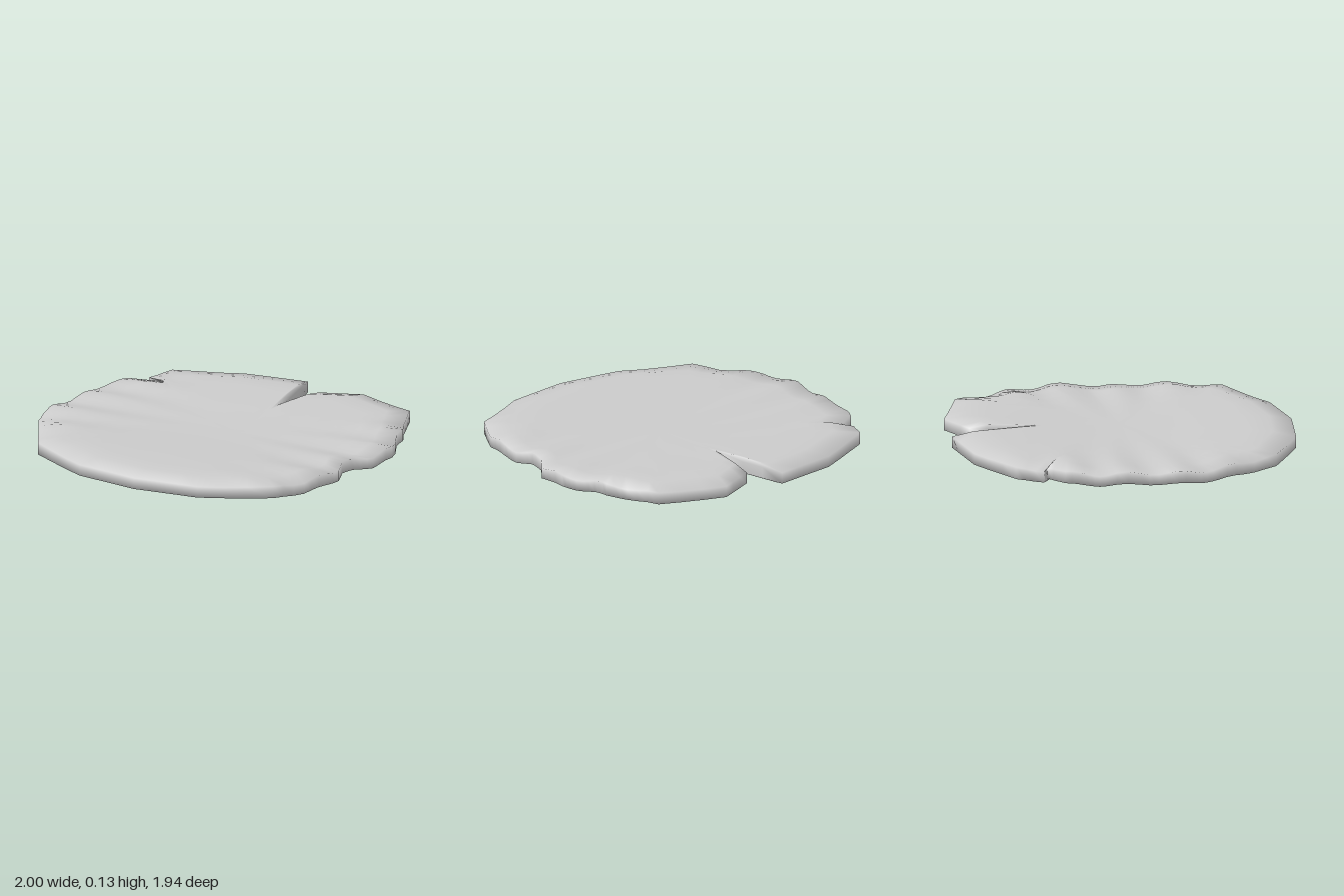
import * as THREE from 'three';

// Leaf outline as [x, z], starting at the notch and running round by the right, front and left
const OUTLINE = [
  [0.10, -0.55], [0.17, -0.84], [0.40, -0.94], [0.78, -0.80], [0.85, -0.61], [0.91, -0.50],
  [0.92, -0.41], [0.97, -0.31], [1.00, -0.22], [0.99, -0.03], [0.92, 0.06], [0.90, 0.16],
  [0.935, 0.26], [0.92, 0.38], [0.88, 0.55], [0.78, 0.73], [0.40, 0.92], [0.02, 0.97],
  [-0.36, 0.92], [-0.74, 0.73], [-0.86, 0.52], [-0.95, 0.36], [-0.99, 0.25], [-1.00, 0.12],
  [-0.975, -0.04], [-0.95, -0.22], [-0.95, -0.32], [-0.92, -0.40], [-0.87, -0.50],
  [-0.73, -0.575], [-0.80, -0.61], [-0.73, -0.75], [-0.36, -0.92], [0.02, -0.97],
];
const HUB = [0.1, 0];
const STEPS = 3;
const { smoothstep } = THREE.MathUtils;

// Ripples run sideways and grow towards the left and right edges
const ripple = (x, z) => 0.011 * Math.min(1, x * x * 1.3) * Math.sin(z * 21 - 1.2);

// The top is slightly dished between the front and the back
const topHeight = (x, z) => 0.112 + 0.018 * smoothstep(Math.abs(z), 0.1, 0.65) + ripple(x, z);

// The underside has a flat belly, wider than it is deep
const bellyHeight = (x, z) => {
  const r = Math.hypot(x / 0.95, z / 0.68);
  return 0.003 + 0.038 * smoothstep(r, 0.4, 1) + ripple(x, z) * 0.5 * Math.min(1, r);
};

// Rings from the middle of the top, over the rim, to the middle of the underside:
// [scale about the hub, height rule]
const RINGS = [
  ...[0.2, 0.4, 0.6, 0.75, 0.87].map((s) => [s, topHeight]),
  [1, (x, z) => 0.109 + ripple(x, z)],
  [1, (x, z) => 0.045 + ripple(x, z) * 0.5],
  ...[0.95, 0.85, 0.7, 0.55, 0.4, 0.2].map((s) => [s, bellyHeight]),
];

function padGeometry() {
  // Subdivide the outline so the rim can follow the ripples
  const rim = OUTLINE.flatMap(([x, z], i) => {
    const [nx, nz] = OUTLINE[(i + 1) % OUTLINE.length];
    return Array.from({ length: STEPS }, (_, k) => [x + (nx - x) * k / STEPS, z + (nz - z) * k / STEPS]);
  });
  const n = rim.length;
  const position = [HUB[0], topHeight(...HUB), HUB[1]];
  for (const [s, height] of RINGS) {
    for (const [px, pz] of rim) {
      const x = HUB[0] + (px - HUB[0]) * s;
      const z = HUB[1] + (pz - HUB[1]) * s;
      position.push(x, height(x, z), z);
    }
  }
  position.push(HUB[0], bellyHeight(...HUB), HUB[1]);

  const index = [];
  const last = RINGS.length - 1;
  const at = (r, i) => 1 + r * n + (i % n);
  for (let i = 0; i < n; i++) {
    index.push(0, at(0, i + 1), at(0, i));
    for (let r = 0; r < last; r++) {
      index.push(at(r, i), at(r, i + 1), at(r + 1, i));
      index.push(at(r, i + 1), at(r + 1, i + 1), at(r + 1, i));
    }
    index.push(at(last, i), at(last, i + 1), 1 + RINGS.length * n);
  }

  const geometry = new THREE.BufferGeometry();
  geometry.setAttribute('position', new THREE.Float32BufferAttribute(position, 3));
  geometry.setIndex(index);
  geometry.computeVertexNormals();
  return geometry;
}

export function createModel() {
  const group = new THREE.Group();
  group.name = 'lilyPad';
  const material = new THREE.MeshStandardMaterial({ color: 0xcccccc });
  const pad = new THREE.Mesh(padGeometry(), material);
  pad.name = 'leaf';
  group.add(pad);
  return group;
}
